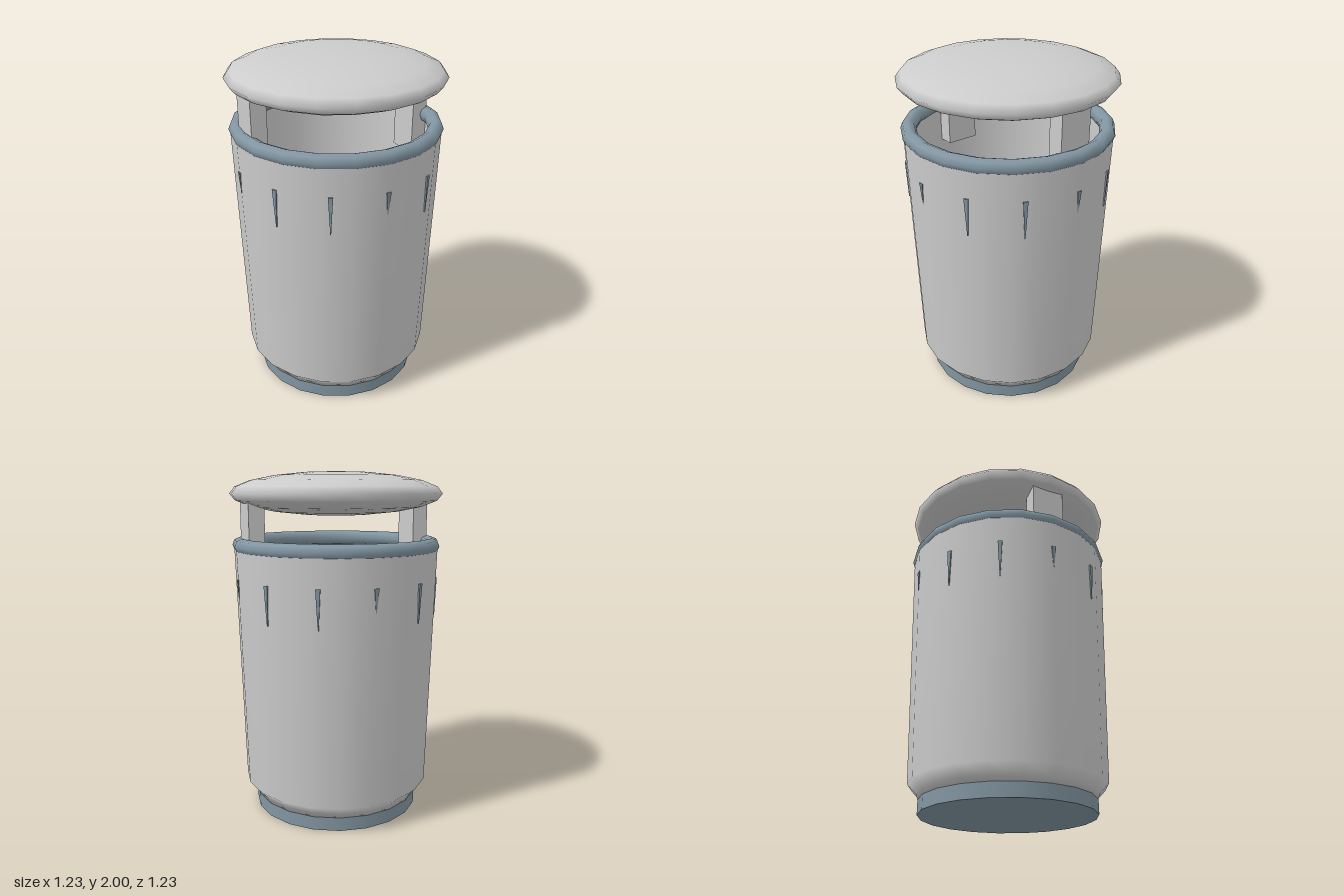
import * as THREE from 'three';

const SIDES = 20;
const grey = new THREE.MeshStandardMaterial({ color: 0xcccccc });
const slate = new THREE.MeshStandardMaterial({ color: 0x8296a2 });

function add(parent, name, geometry, material) {
  const mesh = new THREE.Mesh(geometry, material);
  mesh.name = name;
  parent.add(mesh);
  return mesh;
}

function lathe(points) {
  return new THREE.LatheGeometry(points.map(([r, y]) => new THREE.Vector2(r, y)), SIDES);
}

// Small wedge that narrows and sinks into the wall towards its lower end
function slotGeometry() {
  const g = new THREE.BoxGeometry(0.026, 0.2, 0.03);
  const p = g.attributes.position;
  for (let i = 0; i < p.count; i++) {
    if (p.getY(i) < 0) {
      p.setX(i, p.getX(i) * 0.15);
      p.setZ(i, p.getZ(i) - 0.008);
    }
  }
  g.computeVertexNormals();
  return g;
}

export function createModel() {
  const model = new THREE.Group();
  model.name = 'litterBin';

  // Foot ring
  add(model, 'base', new THREE.CylinderGeometry(0.495, 0.495, 0.08, SIDES), slate)
    .position.y = 0.04;

  // Tapered container, outside and inside
  add(model, 'body', lathe([
    [0, 0.08], [0.495, 0.08], [0.505, 0.11], [0.557, 0.165], [0.596, 1.58],
  ]), grey);
  add(model, 'innerWall', lathe([
    [0.565, 1.58], [0.53, 0.18], [0.49, 0.13], [0, 0.13],
  ]), grey);

  // Rolled rim
  const rim = add(model, 'rim', new THREE.TorusGeometry(0.562, 0.044, 8, SIDES), slate);
  rim.rotation.x = Math.PI / 2;
  rim.position.y = 1.583;

  // Ring of twelve drainage slots
  const slots = new THREE.Group();
  slots.name = 'slots';
  model.add(slots);
  const slot = slotGeometry();
  for (let i = 0; i < 12; i++) {
    const angle = (i * Math.PI) / 6;
    const onCorner = i % 3 === 0;
    const radius = onCorner ? 0.581 : 0.578;
    const mesh = add(slots, 'slot', slot, slate);
    mesh.scale.y = onCorner ? 0.65 : 1.1;
    mesh.position.set(Math.sin(angle) * radius, 1.4 - 0.1 * mesh.scale.y, Math.cos(angle) * radius);
    mesh.rotation.y = angle;
  }

  // Two posts carrying the lid
  for (const side of [-1, 1]) {
    add(model, side > 0 ? 'leftPost' : 'rightPost', new THREE.BoxGeometry(0.09, 0.55, 0.195), grey)
      .position.set(side * 0.5, 1.625, 0);
  }

  // Lens-shaped lid
  const lid = add(model, 'lid', new THREE.SphereGeometry(1, SIDES, 10), grey);
  lid.scale.set(0.615, 0.125, 0.615);
  lid.position.y = 1.875;

  return model;
}
